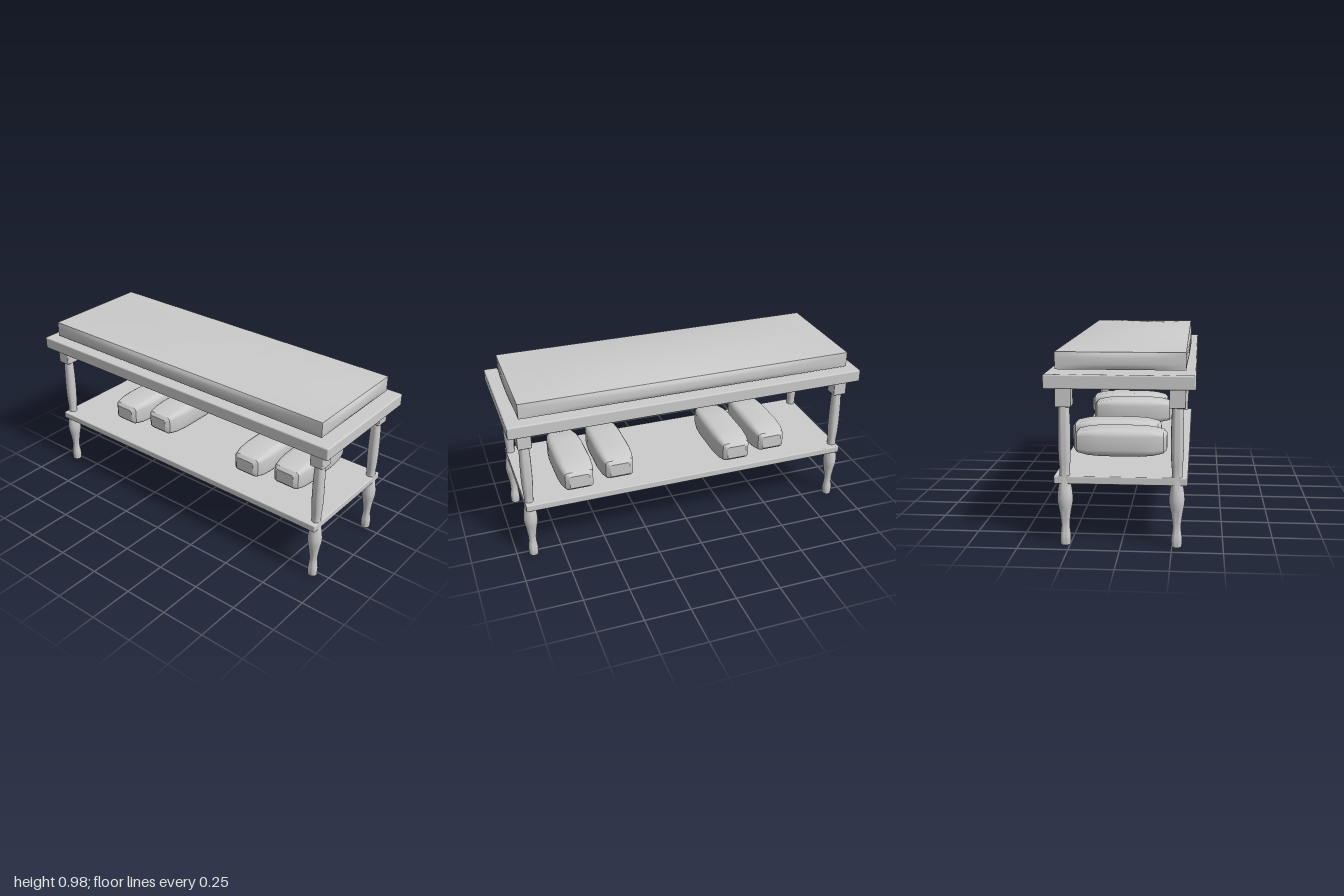
import * as THREE from 'three';
import { toCreasedNormals, mergeVertices } from 'three/addons/utils/BufferGeometryUtils.js';
import { RoundedBoxGeometry } from 'three/addons/geometries/RoundedBoxGeometry.js';

// Padded slab: a box whose faces swell towards their middles.
function padGeometry(half, bulge) {
  const geo = new THREE.BoxGeometry(2, 2, 2, 14, 6, 10);
  const pos = geo.attributes.position;
  for (let i = 0; i < pos.count; i++) {
    const u = pos.getX(i), v = pos.getY(i), w = pos.getZ(i);
    const fu = 1 - u * u, fv = 1 - v ** 4, fw = 1 - w * w;
    pos.setXYZ(i,
      u * (half[0] + bulge[0] * fv * fw),
      v * (half[1] + bulge[1] * fu * fw),
      w * (half[2] + bulge[2] * fu * fv));
  }
  return toCreasedNormals(geo, 0.6);
}

// One rounded-rectangle loop, counter-clockwise seen from +z.
function roundedLoop(hx, hy, r, steps = 4) {
  const points = [];
  [[1, 1], [-1, 1], [-1, -1], [1, -1]].forEach(([sx, sy], q) => {
    for (let i = 0; i <= steps; i++) {
      const a = (q + i / steps) * Math.PI / 2;
      points.push([sx * (hx - r) + r * Math.cos(a), sy * (hy - r) + r * Math.sin(a)]);
    }
  });
  return points;
}

// Closed solid through sections [z, halfWidth, halfHeight, cornerRadius], back to front.
function loftGeometry(sections) {
  const verts = [], index = [];
  let n = 0;
  for (const [z, hx, hy, r] of sections) {
    const loop = roundedLoop(hx, hy, r);
    n = loop.length;
    loop.forEach(([x, y]) => verts.push(x, y, z));
  }
  for (let s = 0; s < sections.length - 1; s++) {
    for (let i = 0; i < n; i++) {
      const a = s * n + i, b = s * n + (i + 1) % n;
      index.push(a, b, b + n, a, b + n, a + n);
    }
  }
  const last = sections.length - 1;
  const back = verts.length / 3;
  verts.push(0, 0, sections[0][0], 0, 0, sections[last][0]);
  for (let i = 0; i < n; i++) {
    const j = (i + 1) % n;
    index.push(back, j, i, back + 1, last * n + i, last * n + j);
  }
  const geo = new THREE.BufferGeometry();
  geo.setAttribute('position', new THREE.Float32BufferAttribute(verts, 3));
  geo.setIndex(index);
  return toCreasedNormals(mergeVertices(geo), 0.5);
}

export function createModel() {
  const model = new THREE.Group();
  model.name = 'bench';
  const grey = new THREE.MeshStandardMaterial({ color: 0xcccccc });
  grey.name = 'light grey';

  const add = (name, geometry, x, y, z, parent = model) => {
    const mesh = new THREE.Mesh(geometry, grey);
    mesh.name = name;
    mesh.position.set(x, y, z);
    parent.add(mesh);
    return mesh;
  };

  // Seat board, lower shelf and seat cushion
  add('seatBoard', new RoundedBoxGeometry(2, 0.07, 0.72, 2, 0.008), 0, 0.82, 0);
  add('shelf', new RoundedBoxGeometry(1.87, 0.04, 0.65, 2, 0.006), 0, 0.33, 0);
  add('cushion', padGeometry([0.93, 0.042, 0.312], [0.012, 0.026, 0.013]), 0, 0.912, 0);

  // Turned legs with square blocks at the top
  const profile = new THREE.SplineCurve([
    [0.025, 0], [0.027, 0.04], [0.021, 0.1], [0.029, 0.17], [0.039, 0.24],
    [0.025, 0.35], [0.029, 0.43], [0.031, 0.5], [0.03, 0.61], [0.026, 0.7],
  ].map(([r, y]) => new THREE.Vector2(r, y))).getPoints(27);
  const turning = new THREE.LatheGeometry([new THREE.Vector2(0, 0), ...profile], 20);
  const turnedGeo = toCreasedNormals(turning, 0.7);
  const blockGeo = new RoundedBoxGeometry(0.076, 0.096, 0.078, 2, 0.005);
  for (const [sx, side] of [[1, 'Left'], [-1, 'Right']]) {
    for (const [sz, end] of [[1, 'front'], [-1, 'back']]) {
      const leg = new THREE.Group();
      leg.name = `${end}${side}Leg`;
      leg.position.set(sx * 0.91, 0, sz * 0.273);
      add('turnedLeg', turnedGeo, 0, 0, 0, leg);
      add('legBlock', blockGeo, 0, 0.738, 0, leg);
      model.add(leg);
    }
  }

  // Two pairs of soft slippers on the shelf, one of each pair set slightly back
  const slipperGeo = loftGeometry([
    [-0.243, 0.055, 0.036, 0.012], [-0.226, 0.077, 0.053, 0.018],
    [-0.17, 0.09, 0.066, 0.028], [-0.1, 0.0975, 0.0725, 0.038],
    [0.1, 0.0975, 0.0725, 0.038], [0.17, 0.09, 0.066, 0.028],
    [0.226, 0.077, 0.053, 0.018], [0.243, 0.055, 0.036, 0.012],
  ]);
  [-0.513, -0.278, 0.397, 0.634].forEach((x, i) => {
    add(`slipper${i + 1}`, slipperGeo, x, 0.438, i % 2 ? -0.073 : -0.033);
  });

  return model;
}
